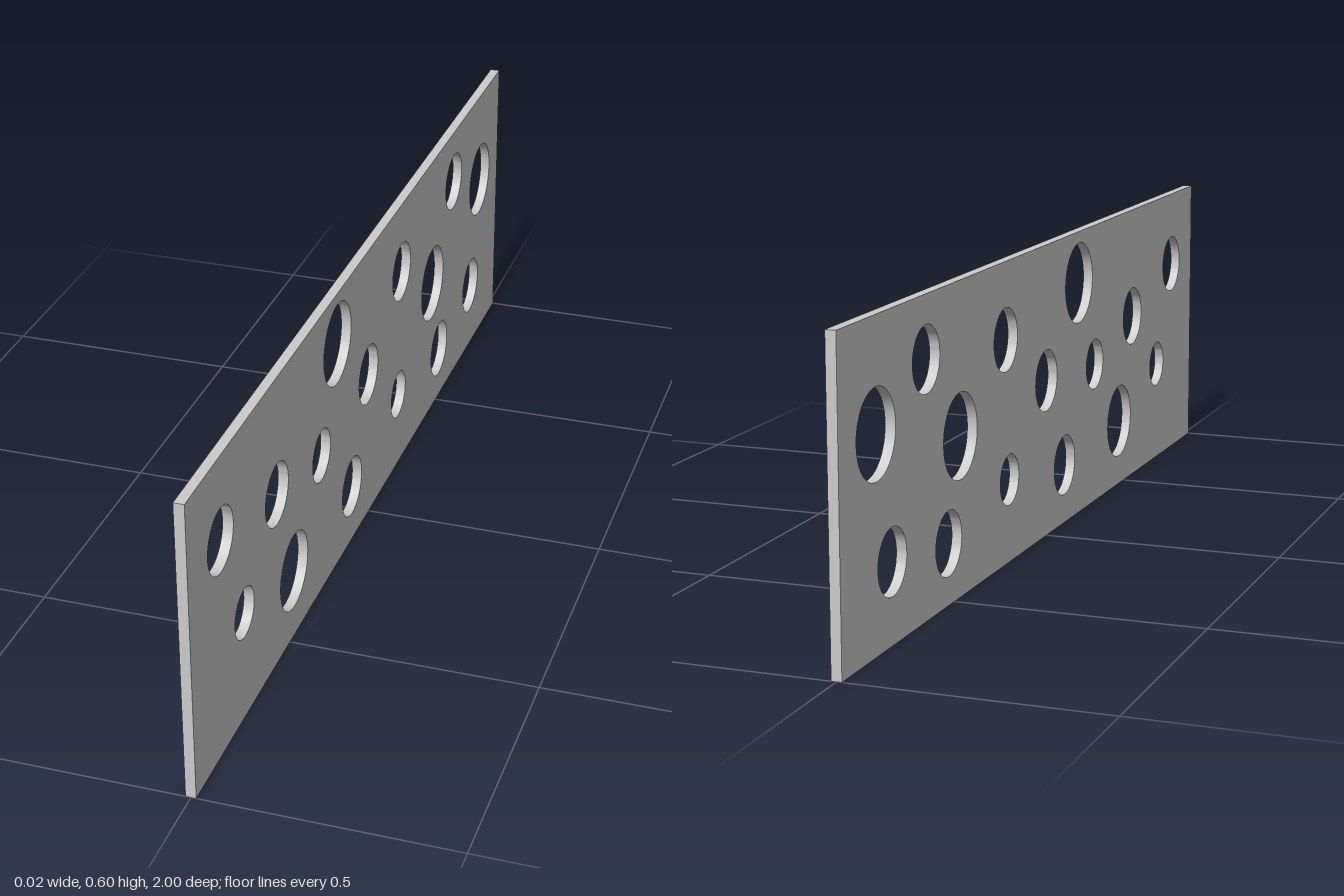
import * as THREE from 'three';
import { toCreasedNormals } from 'three/addons/utils/BufferGeometryUtils.js';

const LENGTH = 2, HEIGHT = 0.6, THICKNESS = 0.02;

// Round holes: z, y, radius
const HOLES = [
  [0.844, 0.437, 0.063], [0.738, 0.22, 0.05], [0.556, 0.362, 0.063],
  [0.468, 0.142, 0.079], [0.3, 0.301, 0.054], [0.198, 0.492, 0.084],
  [0.11, 0.123, 0.063], [0, 0.323, 0.063], [-0.21, 0.166, 0.051],
  [-0.228, 0.447, 0.063], [-0.463, 0.308, 0.083], [-0.524, 0.118, 0.063],
  [-0.623, 0.482, 0.063], [-0.783, 0.152, 0.063], [-0.845, 0.393, 0.083],
];

export function createModel() {
  const group = new THREE.Group();
  group.name = 'perforatedPanel';

  // Rectangular outline, drawn with shape x = -z
  const h = LENGTH / 2;
  const outline = new THREE.Shape([
    new THREE.Vector2(-h, 0), new THREE.Vector2(h, 0),
    new THREE.Vector2(h, HEIGHT), new THREE.Vector2(-h, HEIGHT),
  ]);
  for (const [z, y, r] of HOLES) {
    outline.holes.push(new THREE.Path().absarc(-z, y, r, 0, Math.PI * 2, true));
  }

  // Extrude through the thickness and turn the face towards x
  const extruded = new THREE.ExtrudeGeometry(outline, {
    depth: THICKNESS, bevelEnabled: false, curveSegments: 24,
  });
  extruded.translate(0, 0, -THICKNESS / 2).rotateY(Math.PI / 2);

  // Smooth hole walls, sharp rims and edges
  const panel = new THREE.Mesh(
    toCreasedNormals(extruded, Math.PI / 6),
    new THREE.MeshStandardMaterial({ color: 0xcccccc }),
  );
  panel.name = 'panel';
  group.add(panel);
  return group;
}
